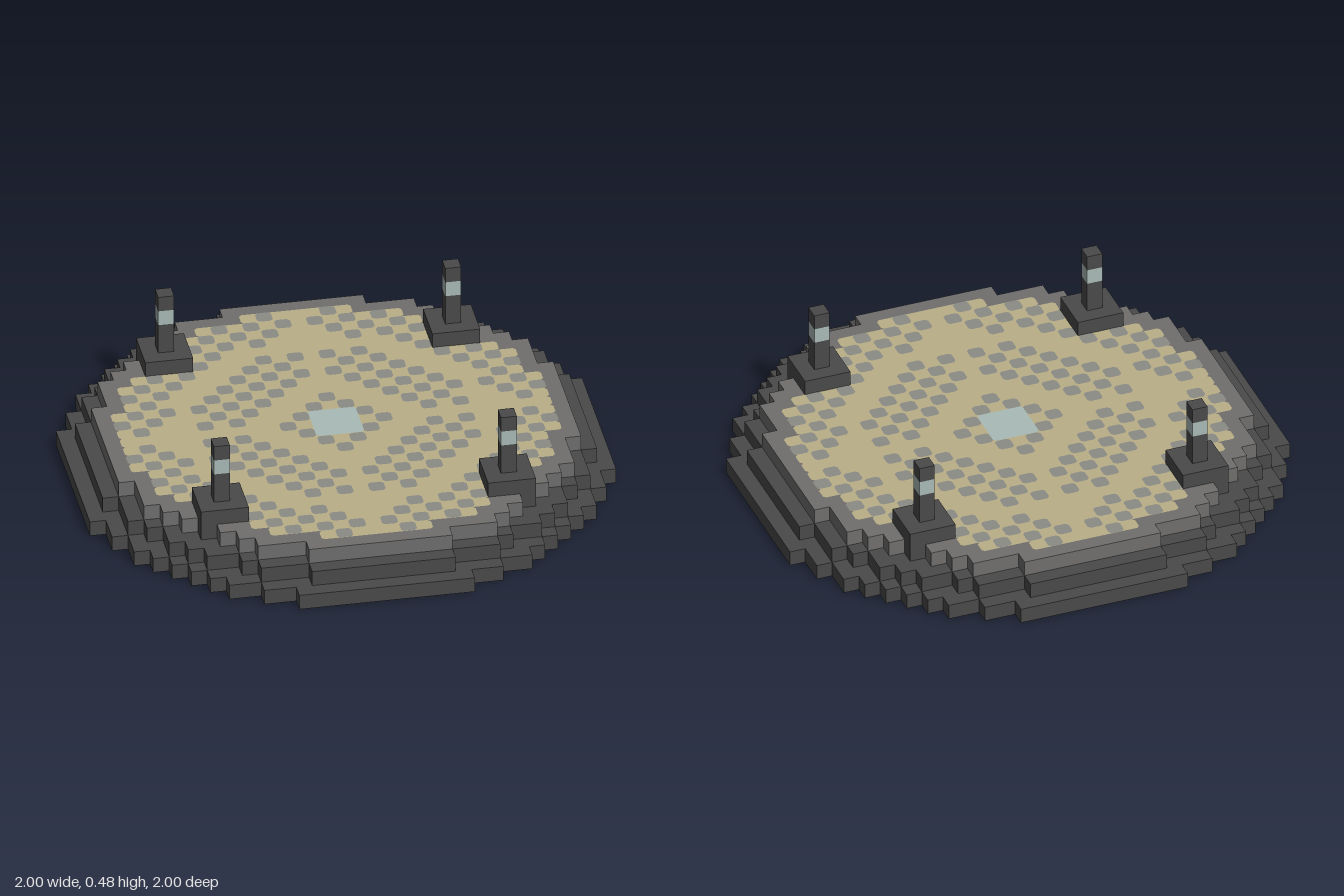
import * as THREE from 'three';
import { mergeGeometries } from 'three/addons/utils/BufferGeometryUtils.js';

const U = 2 / 33; // one block

const mat = (name, color) => {
  const m = new THREE.MeshStandardMaterial({ color });
  m.name = name;
  return m;
};

// Half width, in blocks, of row j of a blocky disc
const rowWidth = (r2, j) => Math.floor(Math.sqrt(r2 - j * j));

// Stepped outline of a blocky disc; c nips the corners of each block end
function discShape(rows, width, c = 0) {
  const right = [];
  for (let j = -rows; j <= rows; j++) {
    const w = width(j) + 0.5;
    if (c) right.push([w - c, j - 0.5]);
    right.push([w, j - 0.5 + c], [w, j + 0.5 - c]);
    if (c) right.push([w - c, j + 0.5]);
  }
  const left = right.map(([x, y]) => [-x, y]).reverse();
  return new THREE.Shape([...right, ...left].map(([x, y]) => new THREE.Vector2(x * U, y * U)));
}

// Flat square tile with nipped corners, half size h blocks
function tileGeometry(i, j, h, y) {
  const c = h - 0.17;
  const pts = [[c, -h], [h, -c], [h, c], [c, h], [-c, h], [-h, c], [-h, -c], [-c, -h]];
  const shape = new THREE.Shape(pts.map(([a, b]) => new THREE.Vector2(a * U, b * U)));
  return new THREE.ShapeGeometry(shape).rotateX(-Math.PI / 2).translate(i * U, y, j * U);
}

export function createModel() {
  const model = new THREE.Group();
  model.name = 'arenaPlatform';
  const dark = mat('darkStone', 0x4a4a4a);
  const grey = mat('greyStone', 0x706f6e);
  const sand = mat('sand', 0xbaaf88);
  const gravel = mat('gravel', 0x8c8c86);
  const pale = mat('paleBlue', 0xa9bbb6);

  const add = (parent, name, geometry, material) => {
    const mesh = new THREE.Mesh(geometry, material);
    mesh.name = name;
    parent.add(mesh);
    return mesh;
  };

  // Three stepped layers; the top one leaves room for the pedestal corners
  const layers = [
    ['lowerStep', 16, 282, dark],
    ['middleStep', 15, 249, dark],
    ['upperStep', 14, 219, grey],
  ];
  layers.forEach(([name, rows, r2, material], k) => {
    const width = (j) => (k === 2 && Math.abs(j) === 10 ? 9 : rowWidth(r2, j));
    const geo = new THREE.ExtrudeGeometry(discShape(rows, width), { depth: U, bevelEnabled: false });
    add(model, name, geo.rotateX(-Math.PI / 2).translate(0, k * U, 0), material);
  });

  // Sand floor
  const top = 3 * U;
  const floor = new THREE.ShapeGeometry(discShape(13, (j) => rowWidth(182, j), 0.17));
  add(model, 'sandFloor', floor.rotateX(-Math.PI / 2).translate(0, top + 0.001, 0), sand);

  // Checkered gravel: a small ring round the centre and two broken bands
  const tiles = [];
  for (let i = -13; i <= 13; i++) {
    for (let j = -13; j <= 13; j++) {
      const sum = Math.abs(i) + Math.abs(j);
      const r = Math.hypot(i, j);
      if (sum % 2 === 0 || r * r > 182) continue;
      const band = i !== 0 && j !== 0 && ((r >= 5 && r < 9) || r > 10.2);
      if ((sum === 3) || band) tiles.push(tileGeometry(i, j, 0.5, top + 0.002));
    }
  }
  add(model, 'gravelTiles', mergeGeometries(tiles), gravel);
  add(model, 'centreTile', tileGeometry(0, 0, 1.5, top + 0.003), pale);

  // Four lamp posts on square pedestals
  for (const sx of [-1, 1]) {
    for (const sz of [-1, 1]) {
      const post = new THREE.Group();
      post.name = 'lampPost';
      post.position.set(sx * 9 * U, 0, sz * 9 * U);
      const block = (name, w, y0, y1, material) =>
        add(post, name, new THREE.BoxGeometry(w * U, (y1 - y0) * U, w * U)
          .translate(0, (y0 + y1) / 2 * U, 0), material);
      block('pedestal', 3, 2, 4, dark);
      block('postShaft', 1, 4, 6, dark);
      block('lampBand', 1, 6, 7, pale);
      block('postCap', 1, 7, 8, dark);
      model.add(post);
    }
  }
  return model;
}
